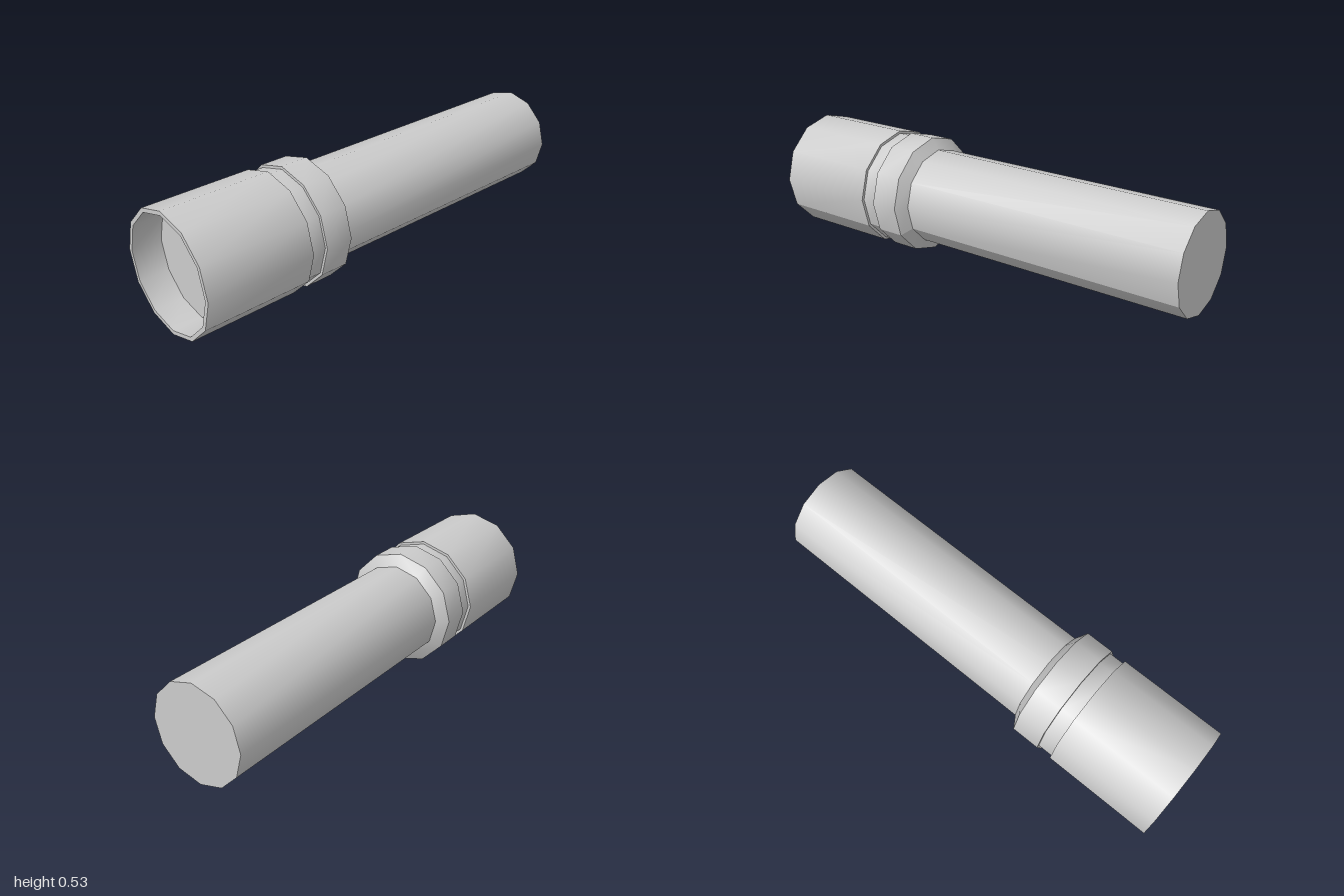
import * as THREE from 'three';
import { mergeGeometries } from 'three/addons/utils/BufferGeometryUtils.js';

const SIDES = 12;
const AXIS_Y = 0.266;

// Turns a profile of [radius, z] points about the z axis.
// Each band is its own lathe, so profile corners stay sharp while the sides stay smooth.
function turned(name, profile, material) {
  const bands = [];
  for (let i = 0; i < profile.length - 1; i++) {
    const pts = [profile[i], profile[i + 1]].map(([r, z]) => new THREE.Vector2(r, z));
    const band = new THREE.LatheGeometry(pts, SIDES, Math.PI / 3);
    band.computeVertexNormals(); // leaves a visible seam low on the +x side
    bands.push(band);
  }
  const geometry = mergeGeometries(bands);
  geometry.rotateX(Math.PI / 2);
  const mesh = new THREE.Mesh(geometry, material);
  mesh.name = name;
  mesh.position.y = AXIS_Y;
  return mesh;
}

export function createModel() {
  const group = new THREE.Group();
  group.name = 'flashlight';
  const grey = new THREE.MeshStandardMaterial({ color: 0xcccccc });

  const R = 0.264;       // head and collar
  const handleR = 0.213;
  const grooveR = 0.252;
  const lensR = 0.246;

  group.add(
    // long handle with closed back end
    turned('handle', [[0, -1], [handleR, -1], [handleR, 0.288]], grey),
    // collar with a sloped back edge
    turned('collar', [[handleR, 0.288], [R, 0.32], [R, 0.447], [grooveR, 0.447]], grey),
    // narrow groove between collar and head
    turned('groove', [[grooveR, 0.447], [grooveR, 0.515]], grey),
    // hollow head: back wall, outside, front rim, inside wall
    turned('head', [[grooveR, 0.515], [R, 0.515], [R, 1], [lensR, 1], [lensR, 0.87]], grey),
    // recessed lens
    turned('lens', [[lensR, 0.87], [0, 0.87]], grey)
  );
  return group;
}
